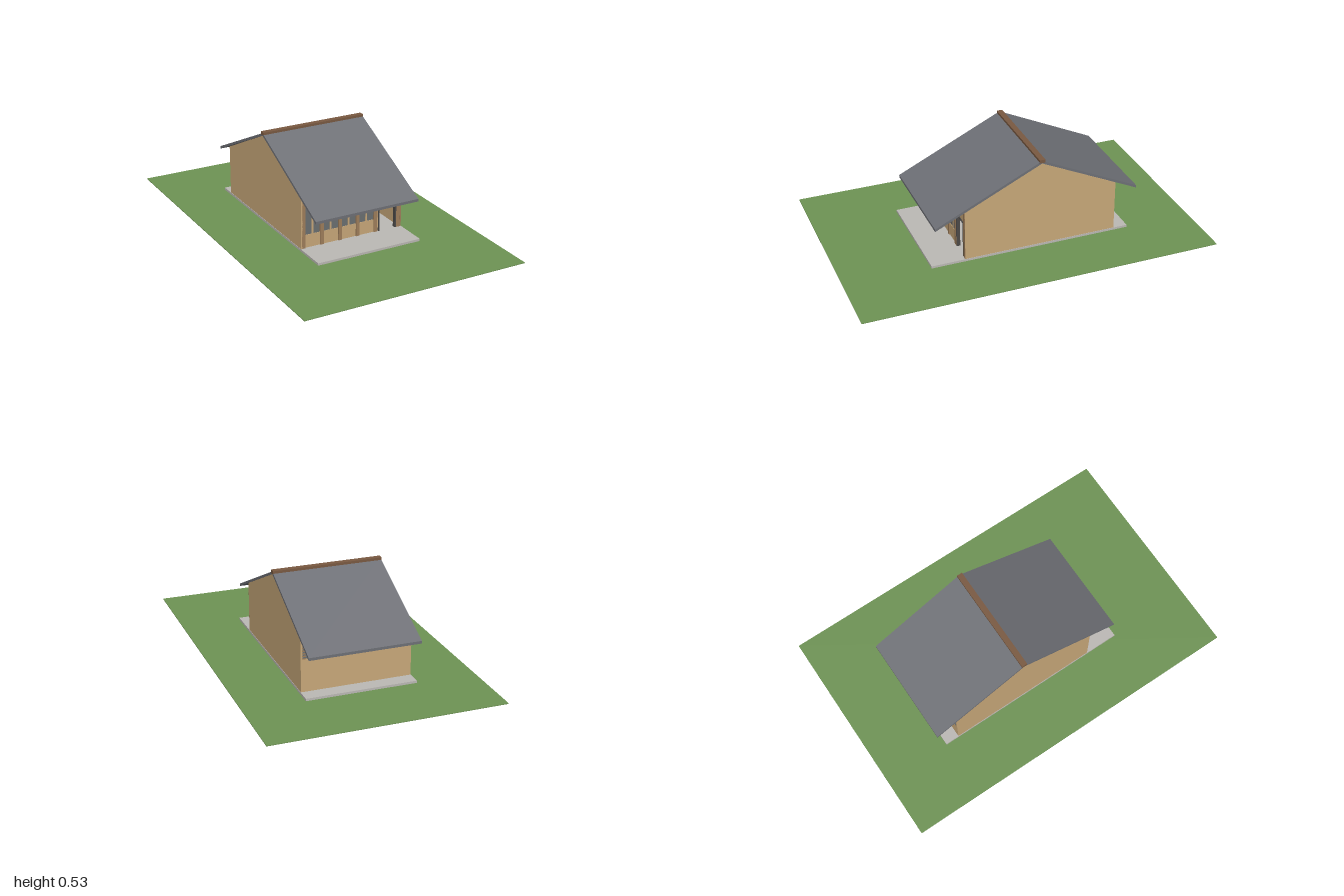
import * as THREE from 'three';

const mat = (name, color) => {
  const m = new THREE.MeshStandardMaterial({ color });
  m.name = name;
  return m;
};

export function createModel() {
  const house = new THREE.Group();
  house.name = 'house';
  const grass = mat('grass green', 0x6f9455);
  const concrete = mat('concrete grey', 0xbdbab6);
  const wall = mat('tan wall', 0xc9a97a);
  const timber = mat('brown timber', 0xa07f5c);
  const ridgeWood = mat('dark timber', 0x7a5a42);
  const slate = mat('roof grey', 0x6f7177);
  const glass = mat('window grey', 0x6c7072);
  const frame = mat('frame grey', 0x4c4a48);

  // Box given by its lower and upper corners
  const box = (name, m, x0, x1, y0, y1, z0, z1) => {
    const mesh = new THREE.Mesh(new THREE.BoxGeometry(x1 - x0, y1 - y0, z1 - z0), m);
    mesh.position.set((x0 + x1) / 2, (y0 + y1) / 2, (z0 + z1) / 2);
    mesh.name = name;
    house.add(mesh);
  };
  // Outline of [z, y] points extruded from x0 to x1
  const prism = (name, m, points, x0, x1) => {
    const shape = new THREE.Shape(points.map(([z, y]) => new THREE.Vector2(z, y)));
    const geo = new THREE.ExtrudeGeometry(shape, { depth: x1 - x0, bevelEnabled: false });
    geo.rotateY(-Math.PI / 2);
    const mesh = new THREE.Mesh(geo, m);
    mesh.position.x = x1;
    mesh.name = name;
    house.add(mesh);
  };

  // Ground and floor slab
  box('lawn', grass, -0.645, 0.645, 0, 0.004, -1, 1);
  box('floorSlab', concrete, -0.309, 0.309, 0.004, 0.017, -0.62, 0.52);

  // Gable walls
  const F = 0.33, B = -0.54, floor = 0.017;
  const gable = [[B, floor], [F, floor], [F, 0.304], [-0.105, 0.511], [B, 0.302]];
  prism('leftGableWall', wall, gable, 0.297, 0.307);
  prism('rightGableWall', wall, gable, -0.307, -0.297);

  // Roof slopes and ridge cap
  prism('frontRoof', slate, [[0.495, 0.225], [0.495, 0.24], [-0.105, 0.526], [-0.105, 0.511]], -0.309, 0.309);
  prism('backRoof', slate, [[-0.105, 0.511], [-0.105, 0.526], [-0.665, 0.262], [-0.665, 0.247]], -0.309, 0.309);
  box('ridgeCap', ridgeWood, -0.31, 0.31, 0.514, 0.532, -0.122, -0.09);

  // Front wall below and above the windows
  const sill = 0.09, head = 0.285, top = 0.302;
  box('frontWallBase', wall, -0.297, 0.165, floor, sill, F - 0.018, F - 0.006);
  box('frontWallHead', wall, -0.297, 0.165, head, top, F - 0.018, F - 0.006);
  box('doorSidePanel', wall, 0.155, 0.165, sill, head, F - 0.018, F - 0.006);

  // Posts and paired windows between them
  const posts = [-0.291, -0.182, -0.071, 0.037, 0.147];
  posts.forEach((x, i) => {
    box('frontPost', timber, x - 0.01, x + 0.01, floor, top, F - 0.02, F);
    if (i === 4) return;
    const a = x + 0.01, b = posts[i + 1] - 0.01, c = (a + b) / 2;
    box('windowPane', glass, a, c - 0.005, sill, head, F - 0.014, F - 0.009);
    box('windowPane', glass, c + 0.005, b, sill, head, F - 0.014, F - 0.009);
    box('windowMullion', wall, c - 0.005, c + 0.005, sill, head, F - 0.018, F - 0.006);
  });
  box('cornerPost', timber, 0.277, 0.297, floor, top, F - 0.02, F);
  box('cornerPostFace', timber, 0.297, 0.307, floor, top, F, F + 0.001);

  // Open doorway with its frame
  box('doorJamb', frame, 0.165, 0.172, floor, 0.225, F - 0.02, F);
  box('doorJamb', frame, 0.269, 0.277, floor, 0.225, F - 0.02, F);
  box('doorHead', frame, 0.165, 0.277, 0.218, 0.225, F - 0.02, F);
  box('wallOverDoor', wall, 0.165, 0.277, 0.225, top, F - 0.018, F - 0.006);

  // Back wall with a high strip of louvres
  box('backWall', wall, -0.297, 0.297, floor, 0.2, B, B + 0.012);
  box('louvreBacking', glass, -0.297, 0.297, 0.2, 0.302, B + 0.006, B + 0.011);
  for (let i = 0; i < 7; i++) {
    const y = 0.207 + i * 0.0145;
    box('louvreSlat', glass, -0.297, 0.297, y, y + 0.006, B - 0.003, B + 0.006);
  }
  for (const x of [-0.287, -0.145, 0, 0.145, 0.287]) {
    box('backPost', timber, x - 0.008, x + 0.008, 0.2, 0.302, B - 0.001, B + 0.012);
  }
  return house;
}
